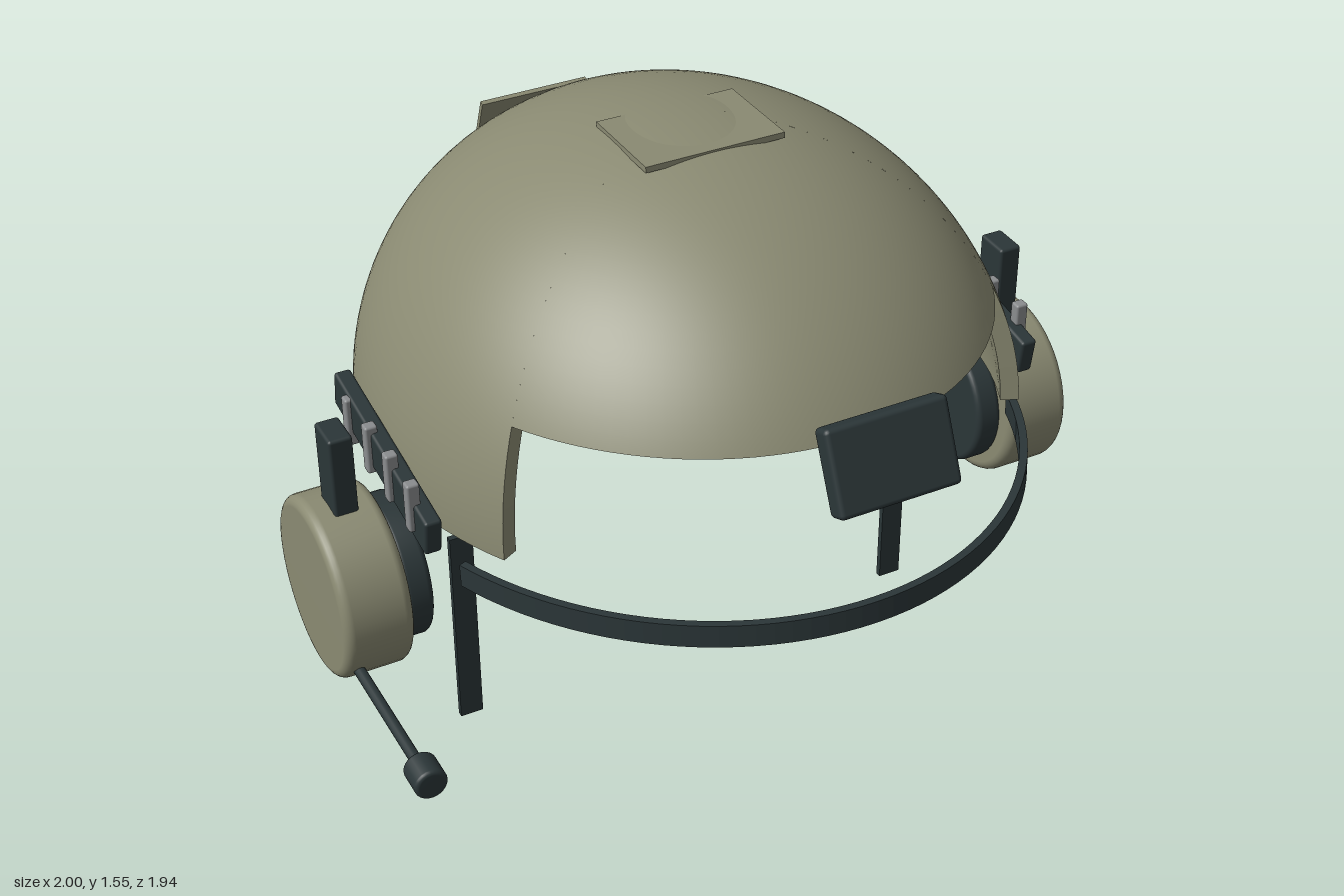
import * as THREE from 'three';
import { RoundedBoxGeometry } from 'three/addons/geometries/RoundedBoxGeometry.js';

export function createModel() {
  const model = new THREE.Group();
  model.name = 'helmet';

  const khaki = new THREE.MeshStandardMaterial({ color: 0x8a8a72, side: THREE.DoubleSide });
  khaki.name = 'khaki shell';
  const dark = new THREE.MeshStandardMaterial({ color: 0x2b3638 });
  dark.name = 'dark slate';
  const grey = new THREE.MeshStandardMaterial({ color: 0x8a8c8e });
  grey.name = 'metal grey';

  const add = (name, geometry, material, position = [0, 0, 0], tilt = 0, parent = model) => {
    const mesh = new THREE.Mesh(geometry, material);
    mesh.name = name;
    mesh.position.set(...position);
    mesh.rotation.x = tilt;
    parent.add(mesh);
    return mesh;
  };
  const box = (w, h, d, r = 0.008) => new RoundedBoxGeometry(w, h, d, 2, r);

  // Disc with rounded edges, lying along the y axis
  const roundedDisc = (radius, height, bevel, segments = 48) => {
    const h = height / 2;
    const points = [new THREE.Vector2(0, -h)];
    for (const [cy, start] of [[-h + bevel, -Math.PI / 2], [h - bevel, 0]]) {
      for (let i = 0; i <= 5; i++) {
        const a = start + (i / 5) * Math.PI / 2;
        points.push(new THREE.Vector2(radius - bevel + bevel * Math.cos(a), cy + bevel * Math.sin(a)));
      }
    }
    points.push(new THREE.Vector2(0, h));
    return new THREE.LatheGeometry(points, segments);
  };

  // Tilted shell: a half ellipsoid with a raised brow opening at the front
  const shell = new THREE.Group();
  shell.name = 'shell';
  shell.position.set(0, 0.786, -0.05);
  shell.rotation.x = -0.073;
  model.add(shell);

  const RAD = Math.PI / 180;
  const cut = 30 * RAD;      // longitude where the opening starts
  const brow = 24 * RAD;     // latitude of the brow edge
  const outer = [0.79, 0.763, 0.922];
  const inner = outer.map((r) => r - 0.045);
  for (const [label, radii] of [['outer', outer], ['inner', inner]]) {
    const back = new THREE.SphereGeometry(1, 80, 32, Math.PI - cut, Math.PI + 2 * cut, 0, Math.PI / 2);
    const front = new THREE.SphereGeometry(1, 40, 24, cut, Math.PI - 2 * cut, 0, Math.PI / 2 - brow);
    add(label + 'ShellBack', back.scale(...radii), khaki, [0, 0, 0], 0, shell);
    add(label + 'ShellFront', front.scale(...radii), khaki, [0, 0, 0], 0, shell);
  }

  // Rim closing the gap between outer and inner shell, along the whole edge
  const path = [];
  const line = (lon0, lat0, lon1, lat1, n) => {
    for (let i = 0; i < n; i++) {
      path.push([lon0 + (lon1 - lon0) * i / n, lat0 + (lat1 - lat0) * i / n]);
    }
  };
  line(Math.PI - cut, 0, 2 * Math.PI + cut, 0, 80);
  line(cut, 0, cut, brow, 10);
  line(cut, brow, Math.PI - cut, brow, 40);
  line(Math.PI - cut, brow, Math.PI - cut, 0, 10);
  const at = ([lon, lat], r) => [
    r[0] * Math.cos(lon) * Math.cos(lat), r[1] * Math.sin(lat), r[2] * Math.sin(lon) * Math.cos(lat)];
  const rim = [];
  path.forEach((p, i) => {
    const q = path[(i + 1) % path.length];
    const [a, b, c, d] = [at(p, outer), at(q, outer), at(q, inner), at(p, inner)];
    rim.push(...a, ...b, ...c, ...a, ...c, ...d);
  });
  const rimGeometry = new THREE.BufferGeometry();
  rimGeometry.setAttribute('position', new THREE.Float32BufferAttribute(rim, 3));
  rimGeometry.computeVertexNormals();
  add('shellRim', rimGeometry, khaki, [0, 0, 0], 0, shell);

  // Curved band below the brow opening
  const bandShape = new THREE.Shape();
  const arc = (rx, rz, from, to) => {
    for (let i = 0; i <= 48; i++) {
      const a = from + (to - from) * i / 48;
      const x = rx * Math.cos(a), z = rz * Math.sin(a);
      if (bandShape.curves.length === 0 && i === 0 && from < to) bandShape.moveTo(x, z);
      else bandShape.lineTo(x, z);
    }
  };
  const bandEnd = 21.5 * RAD;
  arc(0.805, 0.94, bandEnd, Math.PI - bandEnd);
  arc(0.785, 0.92, Math.PI - bandEnd, bandEnd);
  const bandGeometry = new THREE.ExtrudeGeometry(bandShape, { depth: 0.057, bevelEnabled: false });
  bandGeometry.rotateX(Math.PI / 2);
  add('frontBand', bandGeometry, dark, [0, -0.06, 0], 0, shell);

  // Mount and panels
  add('frontMount', box(0.3, 0.2, 0.055, 0.012), dark, [0, 1.197, 0.903], -25 * RAD);
  add('backPanel', new THREE.BoxGeometry(0.3, 0.17, 0.013), khaki, [0, 1.14, -0.925], 21 * RAD);
  add('topPanel', new THREE.BoxGeometry(0.355, 0.015, 0.255), khaki, [0, 1.534, -0.008], -0.03);

  // Parts found on both sides
  for (const s of [1, -1]) {
    const side = new THREE.Group();
    side.name = s > 0 ? 'leftSide' : 'rightSide';
    model.add(side);

    add('rail', box(0.042, 0.098, 0.56), dark, [s * 0.797, 0.87, -0.002], 0.147, side);
    for (let i = 0; i < 4; i++) {
      add('railClip', box(0.032, 0.13, 0.03, 0.006), grey, [s * 0.815, 0.878, 0.2 - i * 0.127], 0, side);
    }
    add('earCupArm', box(0.06, 0.25, 0.095), dark, [s * 0.909, 0.848, -0.033], 0, side);

    const cup = add('earCup', roundedDisc(0.228, 0.175, 0.025), khaki, [s * 0.912, 0.54, -0.033], 0, side);
    cup.rotation.z = Math.PI / 2;
    const pad = add('earPad', roundedDisc(0.18, 0.07, 0.015), dark, [s * 0.792, 0.54, -0.033], 0, side);
    pad.rotation.z = Math.PI / 2;

    add('strap', new THREE.BoxGeometry(0.06, 0.565, 0.016), dark, [s * 0.618, 0.2825, -0.03], 0, side);
  }

  // Boom microphone on the right ear cup
  add('microphoneBoom', new THREE.CylinderGeometry(0.014, 0.014, 0.42, 16), dark,
    [-0.962, 0.415, 0.34], Math.PI / 2);
  add('microphone', roundedDisc(0.04, 0.08, 0.01, 24), dark, [-0.962, 0.415, 0.56], Math.PI / 2);

  return model;
}
